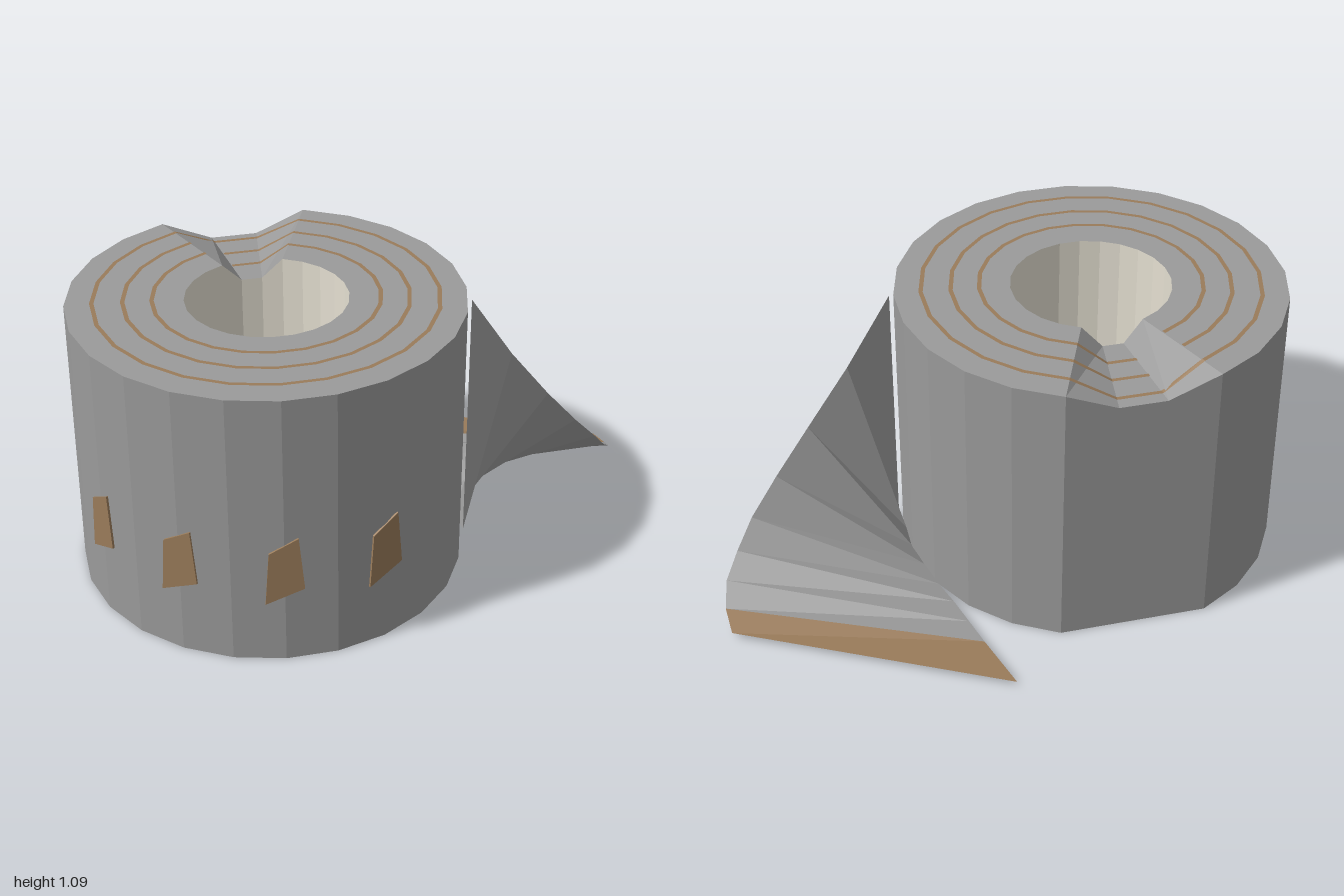
import * as THREE from 'three';

const grey = new THREE.MeshStandardMaterial({ color: 0x9a9a9a, side: THREE.DoubleSide });
grey.name = 'grey';
const brown = new THREE.MeshStandardMaterial({ color: 0x997b5a, side: THREE.DoubleSide });
brown.name = 'brown';
const cream = new THREE.MeshStandardMaterial({ color: 0xe4dfd1, side: THREE.DoubleSide });
cream.name = 'cream';
for (const m of [grey, brown, cream]) m.flatShading = true;

const CX = -0.27, CZ = 0.15, H = 1.08, R = 0.73, HOLE = 0.30, N = 24;

// Two columns at the back are pushed in and down, making a dent.
const dented = (i) => i % N === 13 || i % N === 14;
const topY = (i) => (dented(i) ? H - 0.08 : H);
const outerR = (i) => (dented(i) ? 0.68 : R);

function column(i, r, y) {
  const t = (i / N) * Math.PI * 2;
  return [CX + Math.sin(t) * r, y, CZ + Math.cos(t) * r];
}

// Flat-shaded mesh from quads, corners counter-clockwise.
function quadMesh(name, quads, material) {
  const pos = [];
  for (const [a, b, c, d] of quads) pos.push(...a, ...b, ...c, ...a, ...c, ...d);
  const geo = new THREE.BufferGeometry();
  geo.setAttribute('position', new THREE.Float32BufferAttribute(pos, 3));
  geo.computeVertexNormals();
  const mesh = new THREE.Mesh(geo, material);
  mesh.name = name;
  return mesh;
}

// Quads joining two edges that are functions of the column number.
function around(low, high, skip = -1) {
  const quads = [];
  for (let i = 0; i < N; i++) {
    if (i !== skip) quads.push([low(i), low(i + 1), high(i + 1), high(i)]);
  }
  return quads;
}

export function createModel() {
  const model = new THREE.Group();

  // Hollow roll
  const outBottom = (i) => column(i, outerR(i), 0);
  const outTop = (i) => column(i, outerR(i), topY(i));
  const inBottom = (i) => column(i, HOLE, 0);
  const inTop = (i) => column(i, HOLE, topY(i));
  const roll = new THREE.Group();
  roll.name = 'roll';
  roll.add(
    quadMesh('outerWall', around(outBottom, outTop), grey),
    quadMesh('topFace', around(outTop, inTop), grey),
    quadMesh('bottomFace', around(inBottom, outBottom), grey),
    quadMesh('innerWall', around(inTop, inBottom), cream)
  );
  model.add(roll);

  // Layer rings on the top; the inner two stop short of closing
  [0.415, 0.52, 0.63].forEach((r, k) => {
    const ring = around(
      (i) => column(i, r + 0.008, topY(i) + 0.005),
      (i) => column(i, r - 0.008, topY(i) + 0.005),
      k < 2 ? 14 : -1
    );
    model.add(quadMesh('layerRing', ring, brown));
  });

  // Slanted patches on the front of the roll
  const patchShape = new THREE.Shape([
    new THREE.Vector2(-0.07, 0.25), new THREE.Vector2(0.07, 0.31),
    new THREE.Vector2(0.05, 0.525), new THREE.Vector2(-0.055, 0.465)
  ]);
  const patchGeo = new THREE.ExtrudeGeometry(patchShape, { depth: 0.008, bevelEnabled: false });
  for (const deg of [-45, -15, 15, 45]) {
    const t = THREE.MathUtils.degToRad(deg);
    const patch = new THREE.Mesh(patchGeo, brown);
    patch.name = 'patch';
    patch.position.set(CX + Math.sin(t) * 0.727, 0, CZ + Math.cos(t) * 0.727);
    patch.rotation.y = t;
    model.add(patch);
  }

  // Loose end twisting down to the ground: near edge, then far edge, row by row
  const rows = [
    [[0.46, 0.03, 0], [0.46, 1.05, 0]],
    [[0.41, 0.03, -0.1], [0.61, 0.78, -0.1]],
    [[0.37, 0.03, -0.2], [0.75, 0.56, -0.2]],
    [[0.30, 0.025, -0.3], [0.86, 0.39, -0.3]],
    [[0.225, 0.02, -0.4], [0.94, 0.26, -0.4]],
    [[0.15, 0.02, -0.49], [0.98, 0.165, -0.49]],
    [[0.075, 0.02, -0.59], [1.0, 0.1, -0.59]],
    [[0.0, 0.02, -0.69], [0.98, 0.05, -0.69]],
    [[-0.15, 0.02, -0.88], [0.93, 0.025, -0.79]]
  ];
  const strips = rows.slice(1).map((row, i) => [rows[i][0], rows[i][1], row[1], row[0]]);
  const looseEnd = new THREE.Group();
  looseEnd.name = 'looseEnd';
  looseEnd.add(
    quadMesh('sheet', strips.slice(0, -1), grey),
    quadMesh('sheetTip', strips.slice(-1), brown)
  );
  model.add(looseEnd);

  return model;
}
